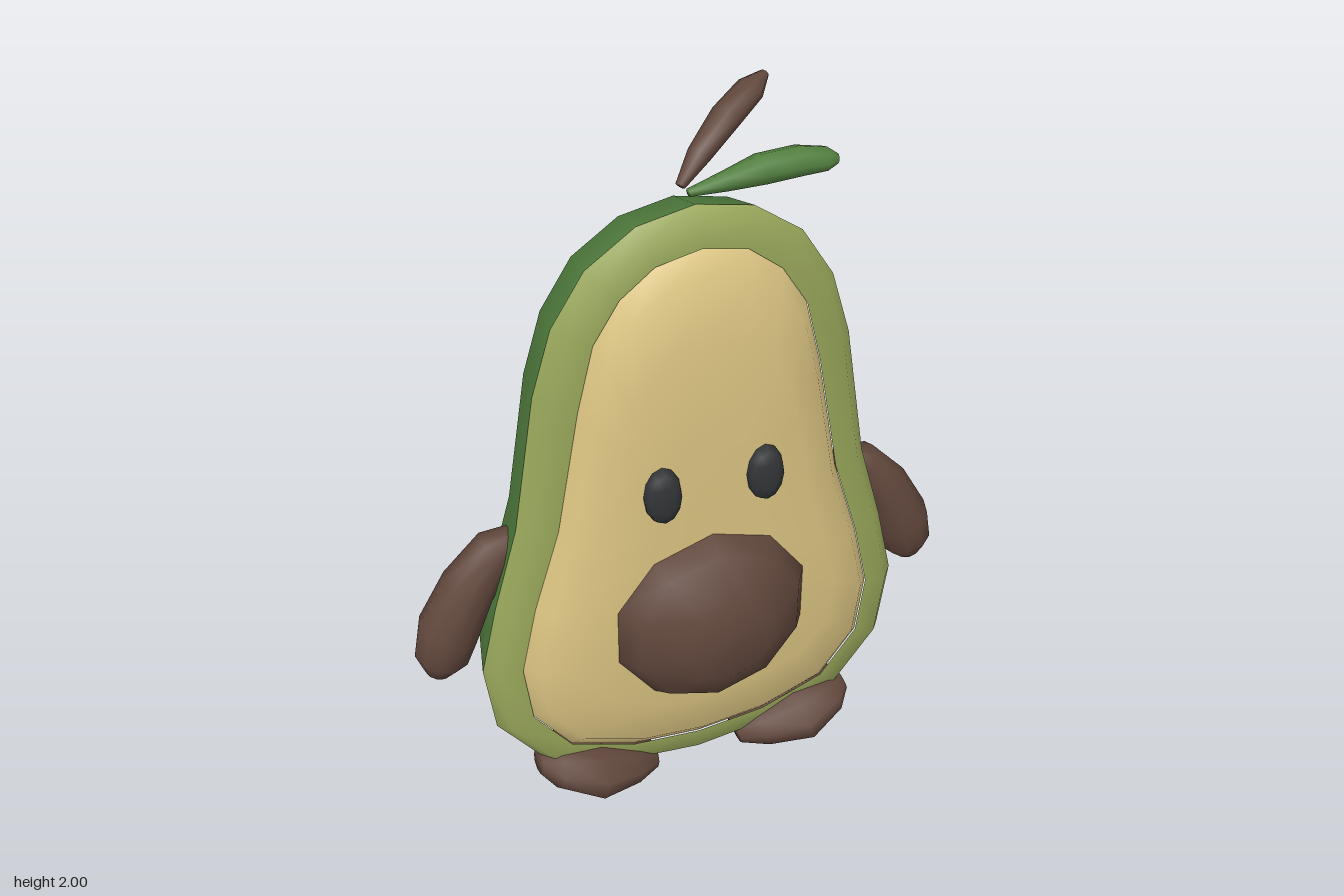
import * as THREE from 'three';
import { mergeVertices } from 'three/addons/utils/BufferGeometryUtils.js';

const mat = (name, color) => {
  const m = new THREE.MeshStandardMaterial({ color });
  m.name = name;
  return m;
};

// Joins closed rings of equal length into a smooth skin
function loft(rings) {
  const n = rings[0].length, pos = [], idx = [];
  rings.forEach(r => r.forEach(p => pos.push(p.x, p.y, p.z)));
  for (let i = 0; i < rings.length - 1; i++) {
    for (let j = 0; j < n; j++) {
      const a = i * n + j, b = i * n + (j + 1) % n;
      idx.push(a, b, b + n, a, b + n, a + n);
    }
  }
  let g = new THREE.BufferGeometry();
  g.setAttribute('position', new THREE.Float32BufferAttribute(pos, 3));
  g.setIndex(idx);
  g = mergeVertices(g, 1e-4);
  g.computeVertexNormals();
  return g;
}

// Tapered limb through [x, y, z, radius] points; depth widens it along z
function limb(points, depth = 1, sides = 10) {
  const c = points.map(p => new THREE.Vector3(p[0], p[1], p[2]));
  const last = c.length - 1;
  const rings = c.map((p, i) => {
    const t = c[Math.min(i + 1, last)].clone().sub(c[Math.max(i - 1, 0)]).normalize();
    const n = new THREE.Vector3(-t.y, t.x, 0).normalize();
    const b = t.clone().cross(n);
    return Array.from({ length: sides }, (_, j) => {
      const a = j / sides * Math.PI * 2, r = points[i][3];
      return p.clone().addScaledVector(n, r * Math.cos(a)).addScaledVector(b, r * depth * Math.sin(a));
    });
  });
  const cap = p => Array.from({ length: sides }, () => p.clone());
  return loft([cap(c[0]), ...rings, cap(c[last])]);
}

// Full counter-clockwise outline from a right half running top to bottom
const outline = half => [
  ...half.map(([x, y]) => [-x, y]),
  ...half.slice(1, -1).reverse(),
];
const MID = 0.92;
const ring = (shape, z, sx, sy = sx) =>
  shape.map(([x, y]) => new THREE.Vector3(x * sx, MID + (y - MID) * sy, z));

// Shallow dome facing +z from [radius, z] points
function dome(profile, sides) {
  return new THREE.LatheGeometry(profile.map(p => new THREE.Vector2(...p)), sides).rotateX(Math.PI / 2);
}

export function createModel() {
  const skin = mat('skin green', 0x527f3f);
  const rimGreen = mat('pale green', 0x98a65a);
  const flesh = mat('flesh cream', 0xdbc482);
  const brown = mat('pit brown', 0x61473c);
  const black = mat('eye black', 0x333538);

  const model = new THREE.Group();
  model.name = 'avocado';
  const add = (name, geometry, material) => {
    const m = new THREE.Mesh(geometry, material);
    m.name = name;
    model.add(m);
    return m;
  };

  const outer = outline([[0, 1.81], [0.15, 1.78], [0.28, 1.69], [0.37, 1.55], [0.425, 1.37], [0.49, 0.98],
    [0.56, 0.74], [0.61, 0.53], [0.585, 0.32], [0.46, 0.15], [0.25, 0.06], [0, 0.03]]);
  const inner = outline([[0, 1.715], [0.12, 1.69], [0.21, 1.62], [0.28, 1.51], [0.325, 1.33], [0.39, 0.98],
    [0.465, 0.74], [0.51, 0.54], [0.49, 0.36], [0.385, 0.215], [0.2, 0.145], [0, 0.125]]);
  const bevel = outer.map(([x, y], i) => [x + (inner[i][0] - x) * 0.32, y + (inner[i][1] - y) * 0.32]);

  // Body: rounded back, bevelled cut edge and gently domed face
  add('skin', loft([
    ring(outer, -0.34, 0, 0.2), ring(outer, -0.335, 0.22, 0.37), ring(outer, -0.3, 0.53, 0.6),
    ring(outer, -0.2, 0.8, 0.81), ring(outer, -0.07, 0.945), ring(outer, 0.08, 1),
  ]), skin);
  add('rim', loft([ring(outer, 0.08, 1), ring(bevel, 0.12, 1), ring(inner, 0.125, 1)]), rimGreen);
  add('flesh', loft([
    ring(inner, 0.12, 1), ring(inner, 0.165, 0.93), ring(inner, 0.205, 0.72),
    ring(inner, 0.21, 0.35), ring(inner, 0.21, 0),
  ]), flesh);

  // Pit belly
  add('pit', dome([[0.27, 0.15], [0.285, 0.2], [0.24, 0.265], [0.12, 0.338], [0, 0.342]], 10), brown).position.y = 0.645;

  for (const [side, s] of [['left', 1], ['right', -1]]) {
    const flip = pts => pts.map(([x, y, z, r]) => [x * s, y, z, r]);

    // Eye
    const eye = add(side + 'Eye', dome([[0.95, 0.19], [1, 0.215], [0.88, 0.236], [0.5, 0.245], [0, 0.246]], 12), black);
    eye.scale.set(0.05, 0.083, 1);
    eye.position.set(0.14 * s, 1.09, 0);

    // Arm
    add(side + 'Arm', limb(flip([[0.46, 0.9, 0, 0.035], [0.53, 0.875, 0, 0.058], [0.61, 0.77, 0, 0.075],
      [0.675, 0.64, 0, 0.085], [0.7, 0.555, 0, 0.075], [0.715, 0.5, 0, 0.035]])), brown);

    // Foot
    add(side + 'Foot', limb(flip([[0.13, 0.045, 0.085, 0.03], [0.2, 0.06, 0.085, 0.057], [0.32, 0.095, 0.085, 0.084],
      [0.43, 0.127, 0.085, 0.058], [0.475, 0.14, 0.085, 0.026]]), 1.75), brown);
  }

  // Stem and leaf
  add('stem', limb([[0, 1.81, -0.02, 0.012], [0.06, 1.868, -0.05, 0.028], [0.15, 1.93, -0.1, 0.036],
    [0.23, 1.972, -0.14, 0.033], [0.28, 1.988, -0.175, 0.012]], 1.2, 8), brown);
  add('leaf', limb([[0.005, 1.81, 0.02, 0.01], [0.1, 1.82, 0.015, 0.024], [0.2, 1.828, 0, 0.038],
    [0.3, 1.833, 0, 0.038], [0.37, 1.828, 0.005, 0.03], [0.4, 1.825, 0.01, 0.012]], 1.2, 8), skin);

  return model;
}
